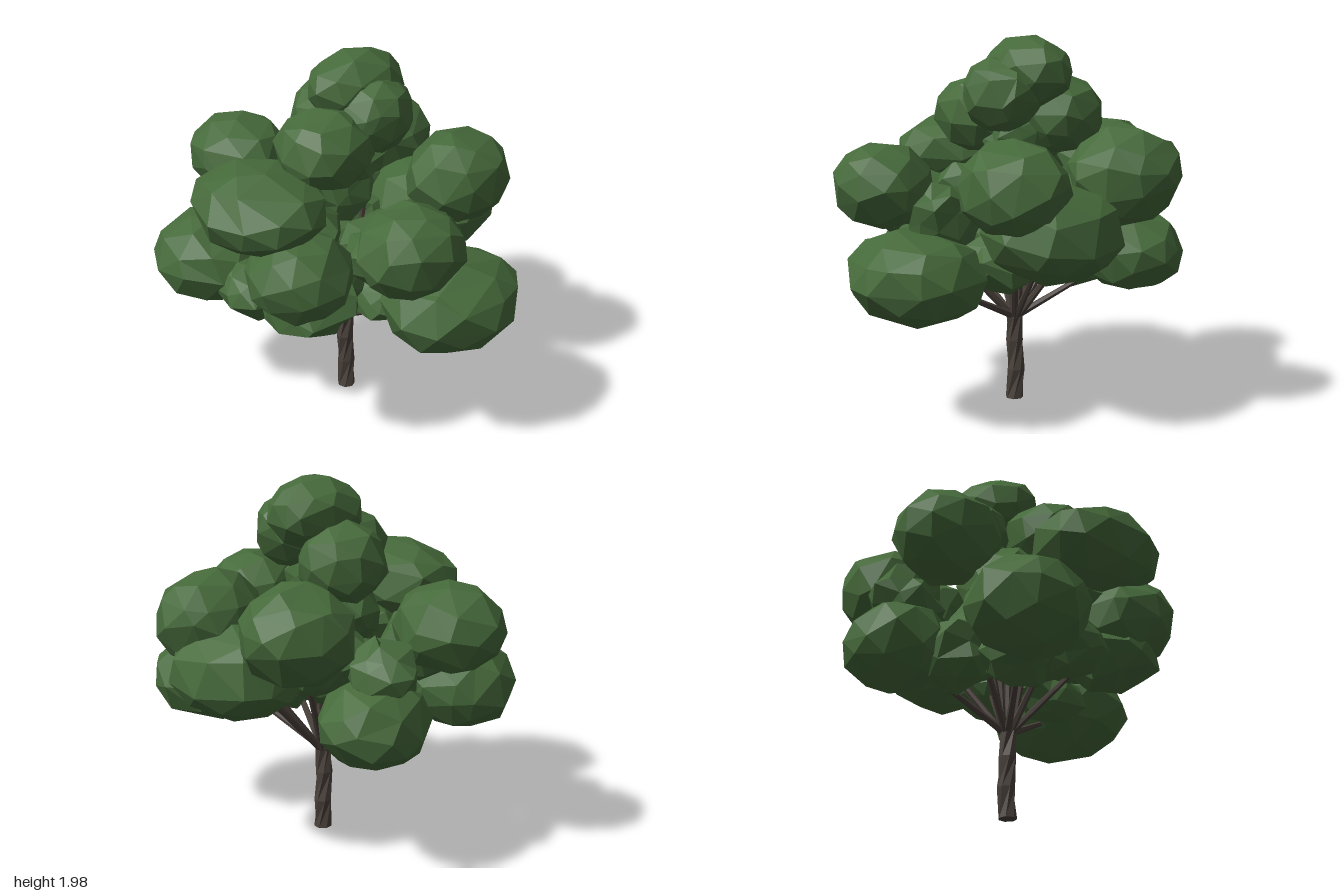
import * as THREE from 'three';

const bark = new THREE.MeshStandardMaterial({ color: 0x4a413b, flatShading: true });
bark.name = 'bark';
const leaf = new THREE.MeshStandardMaterial({ color: 0x466a3b, flatShading: true });
leaf.name = 'leaf';

// Large crowns of leaves: centre x, y, z and radii x, y, z
const crowns = [
  [0.1, 1.79, -0.02, 0.28, 0.19, 0.22],
  [0.09, 1.68, 0.13, 0.22, 0.2, 0.21],
  [0.12, 1.56, -0.21, 0.23, 0.22, 0.24],
  [-0.21, 1.55, 0.07, 0.27, 0.21, 0.25],
  [-0.21, 1.21, 0.68, 0.29, 0.23, 0.26],
  [0.52, 1.26, 0.34, 0.31, 0.25, 0.27],
  [0.58, 1.29, -0.3, 0.29, 0.26, 0.3],
  [0.55, 1.03, 0.13, 0.34, 0.26, 0.37],
  [0.12, 0.79, 0.665, 0.4, 0.25, 0.34],
  [0.3, 0.82, -0.56, 0.3, 0.23, 0.28],
  [-0.13, 1.25, -0.7, 0.27, 0.24, 0.3],
  [-0.57, 1.32, -0.03, 0.33, 0.22, 0.38],
  [-0.5, 0.83, -0.53, 0.31, 0.25, 0.32],
  [-0.56, 1.03, 0.25, 0.28, 0.23, 0.28],
];

// Smaller tufts that fill the inside of the canopy
const tufts = [
  [0.13, 1.08, 0.5, 0.11, 0.18, 0.21],
  [-0.14, 1.04, 0.4, 0.2, 0.15, 0.18],
  [-0.28, 0.9, 0.2, 0.2, 0.14, 0.2],
  [-0.04, 0.76, 0.34, 0.18, 0.14, 0.2],
  [-0.27, 0.71, -0.3, 0.19, 0.15, 0.2],
  [-0.48, 0.77, -0.18, 0.21, 0.16, 0.2],
  [-0.5, 0.85, 0.25, 0.24, 0.17, 0.24],
  [0.03, 0.78, -0.38, 0.23, 0.18, 0.22],
  [-0.28, 1.08, -0.42, 0.22, 0.19, 0.22],
  [0.24, 1.08, -0.56, 0.18, 0.16, 0.2],
  [0.32, 1.1, -0.28, 0.22, 0.18, 0.2],
  [0.3, 0.85, 0.25, 0.2, 0.15, 0.2],
  [-0.24, 0.82, -0.03, 0.2, 0.13, 0.18],
  [-0.04, 1.24, -0.06, 0.22, 0.2, 0.22],
  [0.06, 0.96, -0.1, 0.32, 0.19, 0.28],
  [0.06, 0.95, 0.2, 0.26, 0.17, 0.2],
  [0.05, 1.43, -0.02, 0.16, 0.15, 0.2],
  [-0.36, 1.14, 0.05, 0.22, 0.16, 0.24],
];

// Same value for the same corner, so shared corners stay joined
function hash(x, y, z, seed) {
  const s = Math.sin(Math.round(x * 100) * 12.99 + Math.round(y * 100) * 78.23
    + Math.round(z * 100) * 37.72 + seed * 4.13) * 43758.55;
  return s - Math.floor(s);
}

// Faceted, uneven clump of leaves
function clump([cx, cy, cz, rx, ry, rz], seed, rough, name) {
  const geo = new THREE.IcosahedronGeometry(1, 1);
  const p = geo.attributes.position;
  const v = new THREE.Vector3();
  const turn = new THREE.Euler(seed * 1.3, seed * 2.1, seed * 0.7);
  for (let i = 0; i < p.count; i++) {
    v.fromBufferAttribute(p, i);
    const { x, y, z } = v;
    v.x += (hash(x, y, z, seed) - 0.5) * 0.34;
    v.y += (hash(y, z, x, seed + 5) - 0.5) * 0.34;
    v.z += (hash(z, x, y, seed + 9) - 0.5) * 0.34;
    v.setLength(1.01 + rough * (hash(x, z, y, seed + 2) - 0.5)).applyEuler(turn);
    p.setXYZ(i, v.x * rx, v.y * ry, v.z * rz);
  }
  geo.computeVertexNormals();
  const mesh = new THREE.Mesh(geo, leaf);
  mesh.name = name;
  mesh.position.set(cx, cy, cz);
  return mesh;
}

// Tapered limb between two points
function limb(a, b, r0, r1, name) {
  const mesh = new THREE.Mesh(new THREE.CylinderGeometry(r1, r0, a.distanceTo(b), 6), bark);
  mesh.name = name;
  mesh.position.copy(a).lerp(b, 0.5);
  mesh.quaternion.setFromUnitVectors(new THREE.Vector3(0, 1, 0), b.clone().sub(a).normalize());
  return mesh;
}

export function createModel() {
  const tree = new THREE.Group();
  tree.name = 'tree';

  // Twisted trunk with a slight wobble
  const trunkGeo = new THREE.CylinderGeometry(0.046, 0.049, 0.49, 7, 3);
  trunkGeo.translate(0, 0.245, 0);
  const p = trunkGeo.attributes.position;
  for (let i = 0; i < p.count; i++) {
    const x = p.getX(i), y = p.getY(i), z = p.getZ(i);
    const a = -y * 4;
    p.setXYZ(i, x * Math.cos(a) - z * Math.sin(a) + 0.012 + 0.006 * Math.sin(y * 12), y,
      x * Math.sin(a) + z * Math.cos(a) + 0.004 * Math.cos(y * 14));
  }
  const trunk = new THREE.Mesh(trunkGeo, bark);
  trunk.name = 'trunk';
  tree.add(trunk);

  // One branch from the trunk top towards each crown, ending inside the leaves
  const branches = new THREE.Group();
  branches.name = 'branches';
  const canopy = new THREE.Group();
  canopy.name = 'canopy';
  crowns.forEach((c, i) => {
    const out = new THREE.Vector3(c[0], 0, c[2]).setLength(0.025);
    const start = new THREE.Vector3(0.012, 0.47, 0).add(out);
    const end = start.clone().lerp(new THREE.Vector3(c[0], c[1], c[2]), 0.72);
    branches.add(limb(start, end, 0.02, 0.012, 'branch'));
    canopy.add(clump(c, i + 1, 0.06, 'leafCrown'));
  });
  tufts.forEach((t, i) => canopy.add(clump(t, i + 31, 0.3, 'leafTuft')));
  tree.add(branches, canopy);
  return tree;
}
